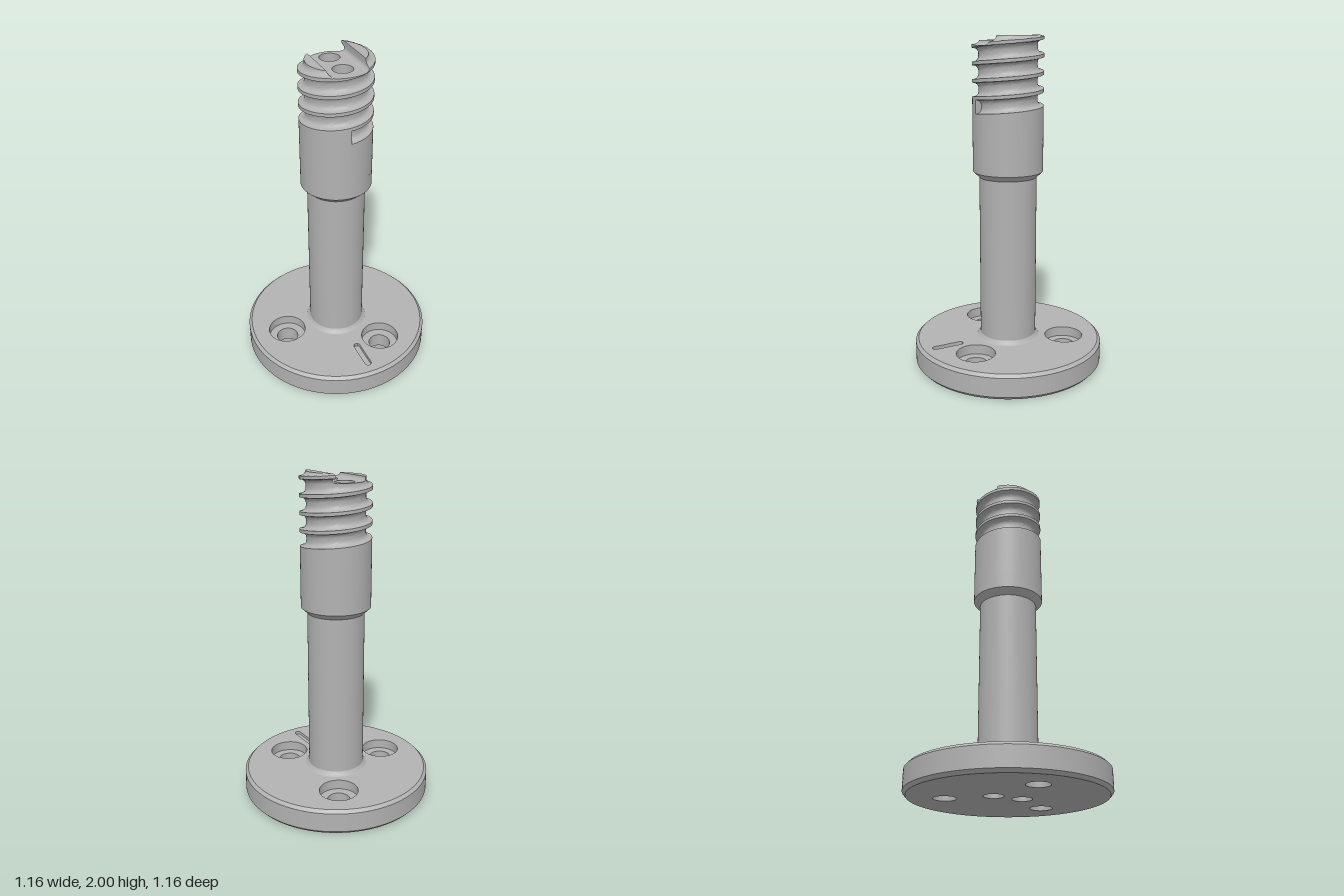
import * as THREE from 'three';
import { toCreasedNormals } from 'three/addons/utils/BufferGeometryUtils.js';

const TAU = Math.PI * 2;
const PITCH = 0.1, GROOVE = 0.08, START = 1.555, CREST = 0.21, DEPTH = 0.038, FLOOR = 1.945;

// Groove depth profile across its width, then thread radius at angle a (0 = front, towards +x) and height y
const grooveR = (s) => {
  const u = Math.min(1, Math.abs((2 * s) / GROOVE - 1));
  return CREST - DEPTH * Math.sqrt(1 - u ** 3);
};
const threadR = (a, y) => {
  const w = y - START - (PITCH * a) / TAU;
  const s = w % PITCH;
  return w < 0 || s >= GROOVE ? CREST : grooveR(s);
};

// Surface from rows of [x, y, z] points
function loft(rows) {
  const n = rows[0].length, index = [];
  for (let j = 0; j < rows.length - 1; j++) {
    for (let i = 0; i < n - 1; i++) {
      const a = j * n + i, b = a + n;
      index.push(a, a + 1, b + 1, a, b + 1, b);
    }
  }
  const g = new THREE.BufferGeometry();
  g.setAttribute('position', new THREE.Float32BufferAttribute(rows.flat(2), 3));
  g.setIndex(index);
  return toCreasedNormals(g, 0.6);
}

const lathe = (pts, seg = 96) =>
  toCreasedNormals(new THREE.LatheGeometry(pts.map((p) => new THREE.Vector2(...p)), seg), 0.5);

// Horizontal outlines are given as [x, z]; shapes lie in the plane with y = -z
const circle = (x, z, r, n = 48) =>
  Array.from({ length: n }, (_, i) => [x + r * Math.sin((i / n) * TAU), z + r * Math.cos((i / n) * TAU)]);

function plate(outline, holes, y, down = false) {
  const vec = (pts) => pts.map(([x, z]) => new THREE.Vector2(x, down ? z : -z));
  const shape = new THREE.Shape(vec(outline));
  shape.holes = holes.map((h) => new THREE.Path(vec(h)));
  return new THREE.ShapeGeometry(shape).rotateX(down ? Math.PI / 2 : -Math.PI / 2).translate(0, y, 0);
}

const wall = (outline, y0, y1) => {
  const closed = [...outline, outline[0]];
  return loft([y0, y1].map((y) => closed.map(([x, z]) => [x, y, z])));
};

export function createModel() {
  const group = new THREE.Group();
  const grey = new THREE.MeshStandardMaterial({ color: 0xb2b2b2, side: THREE.DoubleSide });
  grey.name = 'machined grey';
  const add = (name, geometry) => {
    const m = new THREE.Mesh(geometry, grey);
    m.name = name;
    group.add(m);
    return m;
  };

  // Base flange with screw holes, bores and an index slot
  const H = 0.155, R = 0.58;
  const screws = [1, 3, 5].map((k) => [0.35 * Math.cos((k * Math.PI) / 3), 0.35 * Math.sin((k * Math.PI) / 3)]);
  const bores = [-0.088, 0.088].map((z) => circle(0, z, 0.058));
  const slot = [];
  for (let i = 0; i <= 24; i++) {
    const a = -Math.PI / 2 + (Math.PI * (i % 25)) / 24;
    slot.push([0.02 * Math.sin(a), 0.49 + 0.02 * Math.cos(a)]);
  }
  for (let i = 0; i <= 24; i++) {
    const a = Math.PI / 2 + (Math.PI * i) / 24;
    slot.push([0.02 * Math.sin(a), 0.33 + 0.02 * Math.cos(a)]);
  }
  add('baseRim', lathe([[R - 0.018, 0], [R, 0.02], [R, H - 0.018], [R - 0.018, H]], 128));
  add('baseTop', plate(circle(0, 0, R - 0.018, 128),
    [...screws.map(([x, z]) => circle(x, z, 0.117)), slot], H));
  add('baseUnderside', plate(circle(0, 0, R - 0.018, 128),
    [...screws.map(([x, z]) => circle(x, z, 0.067)), ...bores], 0, true));
  for (const [x, z] of screws) {
    add('screwHole', lathe([[0.067, 0], [0.067, 0.095], [0.117, 0.095], [0.117, H]], 48)).position.set(x, 0, z);
  }
  add('indexSlotWall', wall(slot, H - 0.02, H));
  add('indexSlotFloor', plate(slot, [], H - 0.02));

  // Column with flared foot and the chamfer beneath the collar
  add('column', lathe([[0.195, H], [0.182, 0.163], [0.172, 0.18], [0.172, 1.17], [CREST, 1.205], [CREST, 1.3]]));
  for (const b of bores) add('bore', wall(b, 0, FLOOR));

  // Collar and helical thread
  const N = 144, levels = [START];
  for (let k = 0; k < 4; k++) {
    for (let i = 1; i <= 14; i++) {
      levels.push(START + k * PITCH + (GROOVE / 2) * (1 - Math.cos((Math.PI * i) / 14)));
    }
    levels.push(START + (k + 1) * PITCH);
  }
  const angles = Array.from({ length: N + 1 }, (_, i) => (i / N) * TAU);
  const at = (a, y, r) => [r * Math.sin(a), y, r * Math.cos(a)];
  const rows = levels.map((w) => angles.map((a) => {
    const y = w + (PITCH * a) / TAU;
    if (y > FLOOR) return at(a, FLOOR, threadR(a, FLOOR));
    const s = (w - START + 1e-9) % PITCH;
    return at(a, y, s > GROOVE ? CREST : grooveR(s));
  }));
  add('collarAndThread', loft([angles.map((a) => at(a, 1.3, CREST)), ...rows]));

  // Flat face where the groove begins
  const face = [];
  for (let i = 0; i <= 20; i++) {
    const s = (GROOVE / 2) * (1 - Math.cos((Math.PI * i) / 20));
    face.push(new THREE.Vector2(grooveR(s), START + s));
  }
  add('threadStart', new THREE.ShapeGeometry(new THREE.Shape(face)).rotateY(-Math.PI / 2));

  // Channel floor across the top
  add('channelFloor', plate(angles.slice(0, N).map((a) => {
    const [x, , z] = at(a, FLOOR, threadR(a, FLOOR));
    return [x, z];
  }), bores, FLOOR));

  // Raised lugs either side of the channel, with filleted inner walls
  for (const [side, top] of [[1, 2], [-1, 1.97]]) {
    const mid = side > 0 ? TAU / 4 : (TAU * 3) / 4;
    const lug = [];
    for (let j = 0; j <= 16; j++) {
      const y = FLOOR + ((top - FLOOR) * j) / 16;
      const f = Math.max(0, 1 - (y - FLOOR) / 0.025);
      const inner = 0.113 - 0.024 * (1 - Math.sqrt(1 - f * f));
      const ends = [-1, 1].map((e) => {
        let a = 0.9;
        for (let k = 0; k < 6; k++) a = Math.acos(inner / threadR(mid + e * a, y));
        return mid + e * a;
      });
      const row = [];
      for (let i = 0; i <= 32; i++) {
        const a = ends[0] + ((ends[1] - ends[0]) * i) / 32;
        row.push(at(a, y, threadR(a, y)));
      }
      row.push(row[0]);
      lug.push(row);
    }
    const name = side > 0 ? 'leftLug' : 'rightLug';
    add(name, loft(lug));
    add(name + 'Top', plate(lug[16].slice(0, -1).map(([x, , z]) => [x, z]), [], top));
  }
  return group;
}
